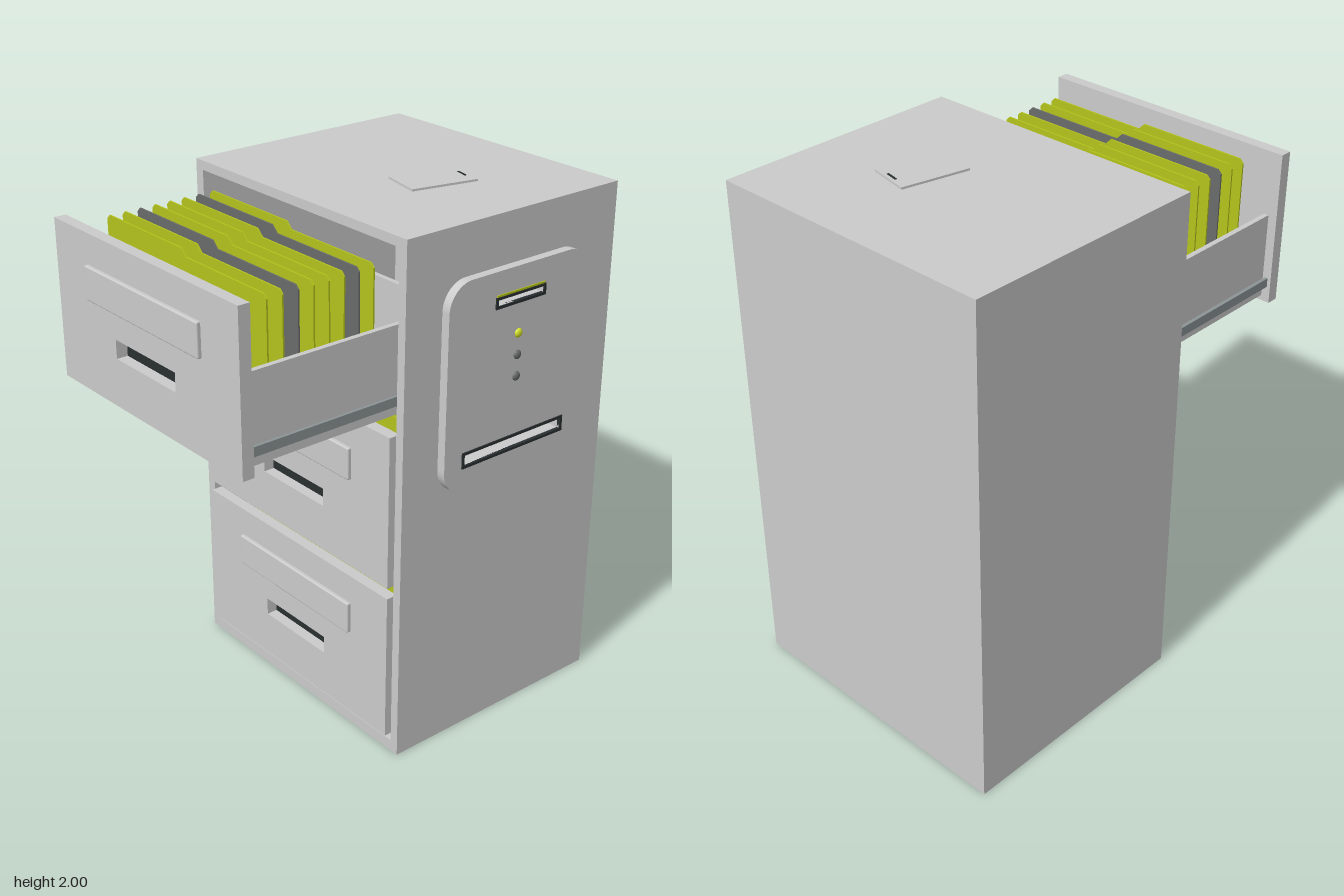
import * as THREE from 'three';
import { RoundedBoxGeometry } from 'three/addons/geometries/RoundedBoxGeometry.js';

const mat = (color) => new THREE.MeshStandardMaterial({ color });
const grey = mat(0xcccccc);
const midGrey = mat(0x8c9496);
const dark = mat(0x2a2f31);
const slate = mat(0x6a6c6c);
const green = mat(0xb4c41c);
const glow = mat(0xd8e62a);

function add(parent, name, geometry, material) {
  const mesh = new THREE.Mesh(geometry, material);
  mesh.name = name;
  parent.add(mesh);
  return mesh;
}

// Box given by its min and max corners
function box(parent, name, x0, x1, y0, y1, z0, z1, material = grey) {
  const mesh = add(parent, name, new THREE.BoxGeometry(x1 - x0, y1 - y0, z1 - z0), material);
  mesh.position.set((x0 + x1) / 2, (y0 + y1) / 2, (z0 + z1) / 2);
  return mesh;
}

// Rectangle outline, optionally with rounded corners
function outline(target, x0, x1, y0, y1, r = 0) {
  if (!r) {
    target.moveTo(x0, y0).lineTo(x1, y0).lineTo(x1, y1).lineTo(x0, y1).closePath();
    return target;
  }
  target.moveTo(x0 + r, y0).lineTo(x1 - r, y0);
  target.absarc(x1 - r, y0 + r, r, -Math.PI / 2, 0);
  target.absarc(x1 - r, y1 - r, r, 0, Math.PI / 2);
  target.absarc(x0 + r, y1 - r, r, Math.PI / 2, Math.PI);
  target.absarc(x0 + r, y0 + r, r, Math.PI, Math.PI * 1.5);
  return target;
}

// Plate with rectangular holes, extruded along +z
function plate(rect, holes, depth, r = 0) {
  const shape = outline(new THREE.Shape(), ...rect, r);
  holes.forEach((h) => shape.holes.push(outline(new THREE.Path(), ...h)));
  return new THREE.ExtrudeGeometry(shape, { depth, bevelEnabled: false, curveSegments: 10 });
}

// Plate standing on the cabinet side: its outline runs along -z and y, its depth along +x
function sidePlate(parent, name, x, rect, holes, depth, r, material = grey) {
  const mesh = add(parent, name, plate(rect, holes, depth, r), material);
  mesh.rotation.y = Math.PI / 2;
  mesh.position.x = x;
  return mesh;
}

// Hanging folder with a raised tab on its left half
function folderGeometry() {
  const s = new THREE.Shape();
  s.moveTo(-0.47, 0.05).lineTo(0.43, 0.05).lineTo(0.43, 0.545).lineTo(0.415, 0.56);
  s.lineTo(0, 0.56).lineTo(-0.025, 0.585).lineTo(-0.455, 0.585).lineTo(-0.47, 0.57).closePath();
  return new THREE.ExtrudeGeometry(s, { depth: 0.006, bevelEnabled: false });
}

// Drawer modelled in its pulled-out position, with its front's lower edge at y = 0
function createDrawer() {
  const drawer = new THREE.Group();
  const front = add(drawer, 'drawerFront',
    plate([-0.55, 0.505, 0, 0.587], [[-0.2, 0.15, 0.18, 0.25]], 0.045), grey);
  front.position.z = 0.75;
  box(drawer, 'handleRecess', -0.2, 0.15, 0.18, 0.25, 0.735, 0.752, dark);
  const label = add(drawer, 'labelPlate', new RoundedBoxGeometry(0.655, 0.125, 0.03, 2, 0.006), grey);
  label.position.set(-0.0225, 0.4125, 0.795);

  // Tray
  const back = -0.13;
  box(drawer, 'drawerBottom', -0.495, 0.45, 0.02, 0.04, back, 0.75);
  box(drawer, 'drawerBack', -0.495, 0.45, 0.04, 0.345, back, back + 0.02);
  for (const side of [-1, 1]) {
    const at = (name, a, b, y0, y1, z1, m) => {
      const p = -0.0225 + side * a, q = -0.0225 + side * b;
      box(drawer, name, Math.min(p, q), Math.max(p, q), y0, y1, back, z1, m);
    };
    at('drawerSide', 0.4725, 0.4925, 0.02, 0.345, 0.75, grey);
    at('railCore', 0.4925, 0.505, 0.075, 0.09, 0.745, midGrey);
    at('rail', 0.505, 0.517, 0.065, 0.1, 0.745, midGrey);
  }

  // Folders
  const geometry = folderGeometry();
  for (let i = 0; i < 8; i++) {
    const folder = add(drawer, 'folder', geometry, i === 1 || i === 5 ? slate : green);
    folder.position.z = 0.199 + i * 0.0614;
  }
  return drawer;
}

export function createModel() {
  const model = new THREE.Group();
  model.name = 'filingCabinet';
  const idSlot = [0.21, 0.425, 1.682, 1.704];
  const printSlot = [0.08, 0.55, 1.128, 1.168];

  // Hollow cabinet, open at the front
  const cabinet = new THREE.Group();
  cabinet.name = 'cabinet';
  model.add(cabinet);
  box(cabinet, 'cabinetTop', -0.6, 0.55, 1.955, 1.99, -0.805, 0.17);
  box(cabinet, 'cabinetBase', -0.6, 0.55, 0, 0.045, -0.805, 0.17);
  box(cabinet, 'cabinetRightWall', -0.6, -0.56, 0.045, 1.955, -0.805, 0.17);
  box(cabinet, 'cabinetBack', -0.56, 0.515, 0.045, 1.955, -0.805, -0.765);
  sidePlate(cabinet, 'cabinetLeftWall', 0.515, [-0.17, 0.805, 0.045, 1.955], [idSlot, printSlot], 0.035);

  // Drawers: the top one is pulled out, the others are shut
  [[1.325, 0], [0.7, -0.605], [0.07, -0.605]].forEach(([y, z], i) => {
    const drawer = createDrawer();
    drawer.name = ['topDrawer', 'middleDrawer', 'bottomDrawer'][i];
    drawer.position.set(0, y, z);
    model.add(drawer);
  });

  // Control panel on the side
  const panel = new THREE.Group();
  panel.name = 'controlPanel';
  model.add(panel);
  sidePlate(panel, 'panelPlate', 0.55, [-0.01, 0.648, 1.025, 1.805], [idSlot, printSlot], 0.034, 0.1);
  for (const [name, s] of [['cardSlotFrame', idSlot], ['printSlotFrame', printSlot]]) {
    const rim = [s[0] - 0.01, s[1] + 0.01, s[2] - 0.01, s[3] + 0.01];
    sidePlate(panel, name, 0.575, rim, [s], 0.014, 0, dark);
  }
  box(panel, 'cardSlotLight', 0.58, 0.588, 1.714, 1.721, -0.43, -0.205, green);
  [1.56, 1.48, 1.4].forEach((y, i) => {
    const lamp = add(panel, 'indicatorLamp', new THREE.SphereGeometry(0.017, 20, 12), i ? slate : glow);
    lamp.scale.x = 0.6;
    lamp.position.set(0.584, y, -0.315);
  });

  // Card lying on top
  const card = new THREE.Group();
  card.name = 'card';
  card.position.set(0.1375, 1.99, -0.315);
  card.rotation.y = -0.21;
  box(card, 'cardBody', -0.084, 0.084, 0, 0.008, -0.131, 0.131);
  box(card, 'cardSlit', -0.022, 0.03, 0.004, 0.01, -0.118, -0.11, dark);
  model.add(card);

  return model;
}
